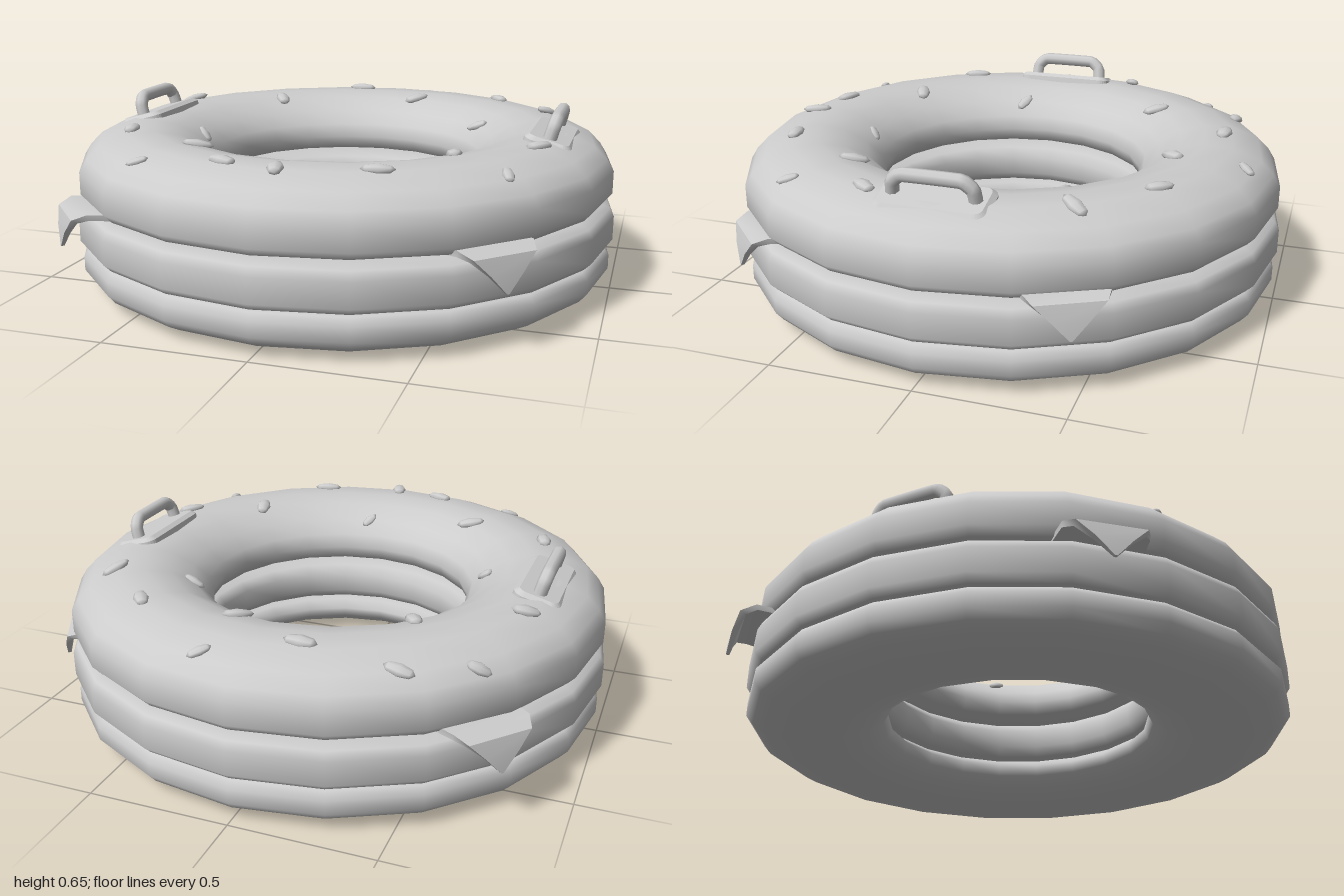
import * as THREE from 'three';
import { toCreasedNormals } from 'three/addons/utils/BufferGeometryUtils.js';

const vinyl = new THREE.MeshStandardMaterial({ color: 0xcccccc });
vinyl.name = 'lightGreyVinyl';

// Ring profiles [radius, height]: up the outside, over the top, down the hole
const topProfile = [[0.62, 0.325], [0.93, 0.32], [0.965, 0.328], [0.99, 0.355], [0.99, 0.435], [0.965, 0.475],
  [0.92, 0.52], [0.82, 0.558], [0.72, 0.563], [0.63, 0.545], [0.55, 0.5], [0.5, 0.45], [0.48, 0.4], [0.5, 0.35], [0.62, 0.325]];
const middleProfile = [[0.62, 0.155], [0.94, 0.155], [0.975, 0.16], [1, 0.185], [1, 0.27], [0.985, 0.3], [0.94, 0.319],
  [0.62, 0.319], [0.52, 0.305], [0.49, 0.27], [0.49, 0.2], [0.52, 0.165], [0.62, 0.155]];
const bottomProfile = [[0.64, 0.012], [0.72, 0.002], [0.82, 0], [0.92, 0.02], [0.965, 0.045], [0.99, 0.075], [0.99, 0.125],
  [0.97, 0.15], [0.93, 0.157], [0.62, 0.157], [0.52, 0.145], [0.485, 0.115], [0.5, 0.075], [0.56, 0.035], [0.64, 0.012]];

function add(parent, geometry, name) {
  const mesh = new THREE.Mesh(geometry, vinyl);
  mesh.name = name;
  parent.add(mesh);
  return mesh;
}

const ring = (profile) =>
  new THREE.LatheGeometry(profile.map(([r, y]) => new THREE.Vector2(r, y)), 20);

// Point and normal on the upper surface of the top ring
function onTop(x, z) {
  const rho = Math.hypot(x, z), r = rho / 0.992;
  const upper = topProfile.slice(4, 13);
  let i = 0;
  while (i < upper.length - 2 && upper[i + 1][0] > r) i++;
  const [r0, y0] = upper[i], [r1, y1] = upper[i + 1];
  const slope = (y1 - y0) / (r1 - r0);
  return {
    point: new THREE.Vector3(x, y0 + slope * (r - r0), z),
    normal: new THREE.Vector3(-slope * x / rho, 1, -slope * z / rho).normalize(),
  };
}

// Seeds: x, z, long direction x, z, size
const seeds = [
  [0.13, -0.88, 1, -1, 0.75], [-0.48, -0.77, 1, 0.1, 0.95], [-0.16, -0.765, 1, 0.05, 1.05], [-0.69, -0.63, 1, 0, 0.8],
  [-0.43, -0.46, 0.6, 1, 1], [0.12, -0.625, 0.7, -0.7, 1], [0.47, -0.645, 0.6, 0.8, 0.95], [0.7, -0.43, 0.6, -0.8, 1],
  [0.44, -0.33, 1, 0, 0.8], [-0.76, -0.29, 1, -0.4, 0.95], [-0.53, 0.12, 1, 0.3, 0.75], [-0.69, 0.39, 0.3, 1, 1],
  [-0.37, 0.52, 1, -0.4, 1], [-0.48, 0.745, 1, -0.4, 0.7], [-0.17, 0.765, 1, 0.4, 1], [0.025, 0.805, 0.3, 1, 1],
  [0.07, 0.54, 0.4, -1, 0.65], [0.33, 0.73, 1, -0.2, 1], [0.5, 0.41, 0.3, 1, 1], [0.7, 0.555, 0.4, 1, 0.75],
  [0.755, 0.25, 0.6, -0.8, 1],
];

// Drooping sheet corner lofted from rows: out, height, half width, underside offset out and up
const cheeseRows = [[0.8, 0.325, 0.16, 0, -0.02], [0.975, 0.345, 0.14, -0.005, -0.02], [1.025, 0.325, 0.115, -0.02, -0.012],
  [1.04, 0.27, 0.06, -0.02, -0.003], [1.045, 0.208, 0.004, -0.012, 0]];

function cheeseGeometry() {
  const positions = [], index = [];
  for (const [u, y, w, du, dy] of cheeseRows) {
    positions.push(u, y, w, u, y, -w, u + du, y + dy, -w, u + du, y + dy, w);
  }
  for (let i = 0; i < cheeseRows.length - 1; i++) {
    for (let j = 0; j < 4; j++) {
      const a = i * 4 + j, b = i * 4 + (j + 1) % 4;
      index.push(a, a + 4, b, b, a + 4, b + 4);
    }
  }
  const e = (cheeseRows.length - 1) * 4;
  index.push(0, 1, 2, 0, 2, 3, e, e + 2, e + 1, e, e + 3, e + 2);
  const g = new THREE.BufferGeometry();
  g.setAttribute('position', new THREE.Float32BufferAttribute(positions, 3));
  g.setIndex(index);
  return toCreasedNormals(g, 0.7);
}

// Rounded, bevelled patch lying flat with its length along z
function patchGeometry(w, l, r) {
  const s = new THREE.Shape();
  s.absarc(w - r, l - r, r, 0, Math.PI / 2);
  s.absarc(r - w, l - r, r, Math.PI / 2, Math.PI);
  s.absarc(r - w, r - l, r, Math.PI, Math.PI * 1.5);
  s.absarc(w - r, r - l, r, Math.PI * 1.5, Math.PI * 2);
  return new THREE.ExtrudeGeometry(s, {
    depth: 0.03, bevelThickness: 0.014, bevelSize: 0.016, bevelSegments: 1, curveSegments: 3,
  }).rotateX(-Math.PI / 2);
}

function createHandle(side) {
  const handle = new THREE.Group();
  handle.name = side > 0 ? 'leftHandle' : 'rightHandle';
  add(handle, patchGeometry(0.07, 0.177, 0.025), 'handlePatch').position.y = -0.034;
  const path = new THREE.CatmullRomCurve3(
    [[0, -0.14], [0.045, -0.135], [0.075, -0.1], [0.075, 0.1], [0.045, 0.135], [0, 0.14]]
      .map(([y, z]) => new THREE.Vector3(0, y, z)), false, 'catmullrom', 0.15);
  add(handle, new THREE.TubeGeometry(path, 28, 0.024, 8), 'handleGrip');
  handle.position.set(side * 0.775, 0.558, 0);
  handle.rotation.z = -side * 0.27;
  return handle;
}

export function createModel() {
  const model = new THREE.Group();
  model.name = 'burgerSwimRing';

  add(model, ring(bottomProfile), 'bottomBun');
  add(model, ring(middleProfile), 'patty');
  add(model, ring(topProfile), 'topBun');

  // Cheese corners: angle from +x towards +z in degrees, outward shift
  const cheese = cheeseGeometry();
  for (const [angle, shift] of [[45, 0.005], [138, 0.035], [222, 0.035], [-28, -0.015]]) {
    const a = THREE.MathUtils.degToRad(angle);
    const corner = add(model, cheese, 'cheeseCorner');
    corner.rotation.y = -a;
    corner.position.set(Math.cos(a) * shift, 0, Math.sin(a) * shift);
  }

  // Sesame seeds lying on the top bun
  const seedGeometry = new THREE.SphereGeometry(1, 8, 4).scale(0.028, 0.056, 0.017);
  for (const [x, z, dx, dz, size] of seeds) {
    const { point, normal } = onTop(x, z);
    const along = new THREE.Vector3(dx, 0, dz).projectOnPlane(normal).normalize();
    const across = new THREE.Vector3().crossVectors(along, normal);
    const seed = add(model, seedGeometry, 'sesameSeed');
    seed.position.copy(point).addScaledVector(normal, 0.004);
    seed.quaternion.setFromRotationMatrix(new THREE.Matrix4().makeBasis(across, along, normal));
    seed.scale.setScalar(size);
  }

  for (const side of [1, -1]) model.add(createHandle(side));
  return model;
}
